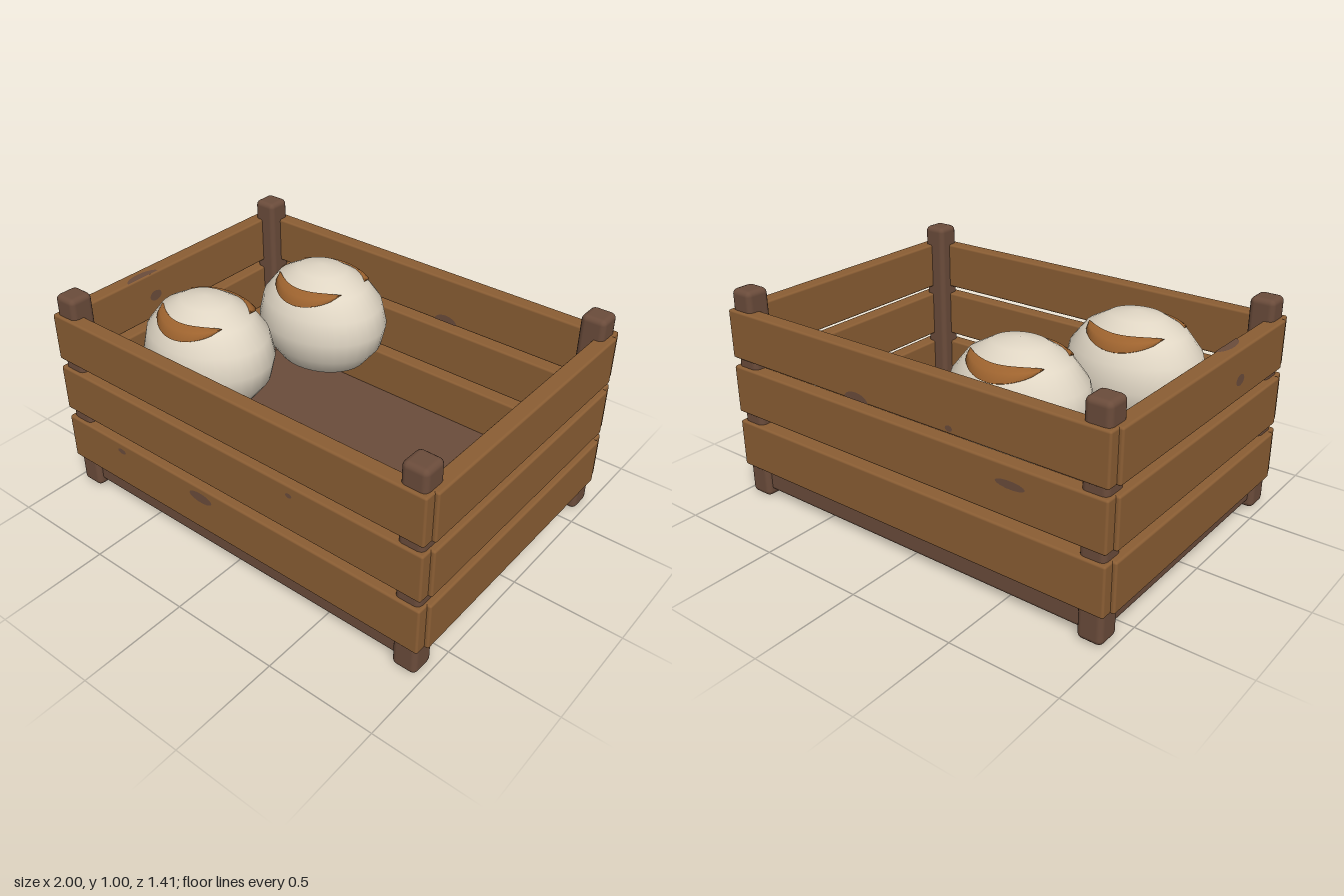
import * as THREE from 'three';
import { RoundedBoxGeometry } from 'three/addons/geometries/RoundedBoxGeometry.js';

const mat = (name, color) => {
  const m = new THREE.MeshStandardMaterial({ color });
  m.name = name;
  return m;
};

export function createModel() {
  const group = new THREE.Group();
  const wood = mat('slat wood', 0x8b5e34);
  const darkWood = mat('dark wood', 0x6b4c3b);
  const shell = mat('pale cream', 0xe0d6c4);
  const crust = mat('orange brown', 0x9f642f);

  const add = (name, geometry, material, x = 0, y = 0, z = 0, parent = group) => {
    const mesh = new THREE.Mesh(geometry, material);
    mesh.name = name;
    mesh.position.set(x, y, z);
    parent.add(mesh);
    return mesh;
  };
  const box = (name, w, h, d, r, material, x, y, z) =>
    add(name, new RoundedBoxGeometry(w, h, d, 2, r), material, x, y, z);

  // Floor of the crate
  box('base', 1.89, 0.12, 1.33, 0.02, darkWood, 0, 0.09, 0);

  // Corner posts
  for (const sx of [-1, 1]) for (const sz of [-1, 1])
    box('cornerPost', 0.115, 1, 0.115, 0.025, darkWood, sx * 0.9125, 0.5, sz * 0.6325);

  // Three rows of slats on each side
  for (const y of [0.2575, 0.5275, 0.7925]) for (const s of [-1, 1]) {
    box('longSlat', 1.965, 0.226, 0.072, 0.01, wood, 0, y, s * 0.669);
    box('endSlat', 0.075, 0.226, 1.31, 0.01, wood, s * 0.9625, y, 0);
  }

  // Wood knots: thin ovals just proud of a slat face; arc below 2*PI gives a cut-off oval
  const knot = (x, y, z, rx, ry, turnY = 0, turnX = 0, arc = Math.PI * 2) => {
    const m = add('woodKnot', new THREE.CircleGeometry(1, 14, 0, arc), darkWood, x, y, z);
    m.rotation.set(turnX, turnY, 0);
    m.scale.set(rx, ry, 1);
  };
  const front = 0.707, back = -0.707, inBack = -0.631;
  knot(-0.63, 0.33, front, 0.025, 0.013);
  knot(-0.14, 0.32, front, 0.065, 0.025);
  knot(0.36, 0.595, front, 0.016, 0.011);
  knot(0.22, 0.684, back, 0.065, 0.035, Math.PI, 0, Math.PI);
  knot(0.17, 0.684, inBack, 0.06, 0.035, 0, 0, Math.PI);
  knot(-0.27, 0.705, back, 0.018, 0.013, Math.PI);
  knot(-0.56, 0.56, back, 0.07, 0.018, Math.PI);
  knot(-1.001, 0.77, 0.24, 0.035, 0.025, -Math.PI / 2);
  knot(-0.923, 0.79, 0.17, 0.035, 0.025, Math.PI / 2);

  // Cut-off knot on the upper edge of the -x end
  const edgeShape = new THREE.Shape();
  edgeShape.absellipse(0, 0, 0.038, 0.09, Math.PI / 2, Math.PI * 1.5, false);
  const edgeKnot = add('woodKnot', new THREE.ShapeGeometry(edgeShape), darkWood, -0.928, 0.907, 0.23);
  edgeKnot.rotation.x = -Math.PI / 2;

  // Raised crescent following the top of a loaf
  const RX = 0.32, RY = 0.27, RZ = 0.265;
  const crescentGeometry = () => {
    const n = 20, pos = [], index = [];
    for (let i = 0; i <= n; i++) {
      const s = -1 + (2 * i) / n, k = 1 - s * s;
      const x = 0.18 * s;
      const inner = 0.087 + 0.08 * k, outer = 0.088 + 0.132 * Math.pow(k, 0.6);
      const section = [[inner, 0.95], [inner, 1.012], [(inner + outer) / 2, 1.018], [outer, 1.012], [outer, 0.95]];
      for (const [z, f] of section) {
        const y = RY * Math.sqrt(1 - (x / RX) ** 2 - (z / RZ) ** 2);
        pos.push(x * f, y * f, z * f);
      }
    }
    for (let i = 0; i < n; i++) for (let j = 0; j < 4; j++) {
      const a = i * 5 + j, b = a + 5;
      index.push(a, a + 1, b, b, a + 1, b + 1);
    }
    const g = new THREE.BufferGeometry();
    g.setAttribute('position', new THREE.Float32BufferAttribute(pos, 3));
    g.setIndex(index);
    g.computeVertexNormals();
    return g;
  };

  // Two round loaves, each with a mirrored pair of crescents
  for (const [x, z] of [[-0.513, 0.24], [-0.308, -0.308]]) {
    const loaf = new THREE.Group();
    loaf.name = 'loaf';
    loaf.position.set(x, 0.693, z);
    group.add(loaf);
    add('loafBody', new THREE.SphereGeometry(1, 32, 8), shell, 0, 0, 0, loaf).scale.set(RX, RY, RZ);
    for (const turn of [0, Math.PI])
      add('crescent', crescentGeometry(), crust, 0, 0, 0, loaf).rotation.y = turn;
  }
  return group;
}
